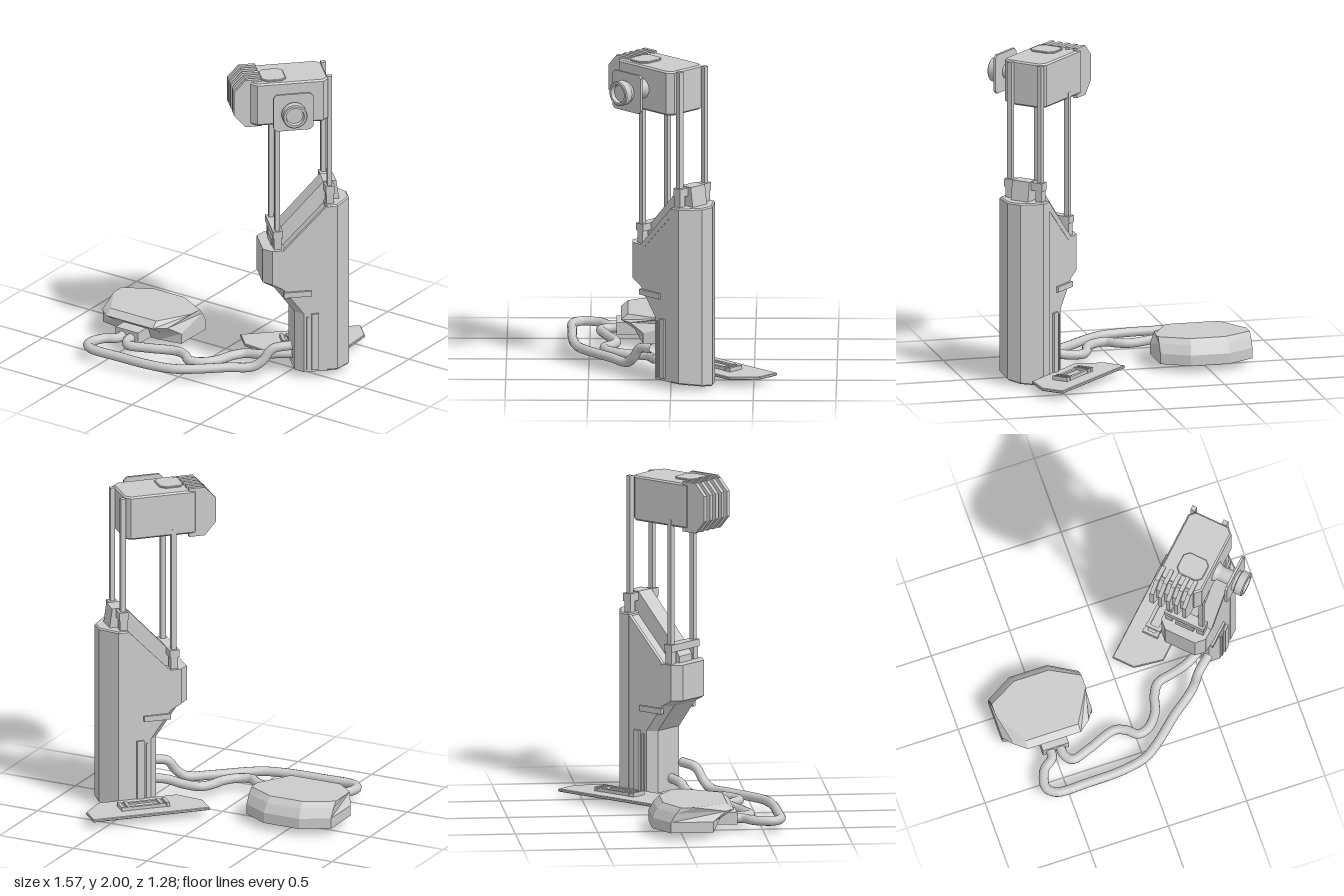
import * as THREE from 'three';

const flat = new THREE.MeshStandardMaterial({ color: 0xcccccc, flatShading: true });
const smooth = new THREE.MeshStandardMaterial({ color: 0xcccccc });

function add(parent, name, geo, mat = flat) {
  const m = new THREE.Mesh(geo, mat);
  m.name = name;
  parent.add(m);
  return m;
}
function box(parent, name, x0, x1, y0, y1, z0, z1) {
  const g = new THREE.BoxGeometry(x1 - x0, y1 - y0, z1 - z0);
  g.translate((x0 + x1) / 2, (y0 + y1) / 2, (z0 + z1) / 2);
  return add(parent, name, g);
}
const outline = pts => new THREE.Shape(pts.map(p => new THREE.Vector2(p[0], p[1])));

// Outline in x,z raised from y0 to y1, with an optional small bevel
function plan(pts, y0, y1, bevel = 0) {
  const g = new THREE.ExtrudeGeometry(outline(pts.map(([x, z]) => [x, -z])), {
    depth: y1 - y0 - 2 * bevel, bevelEnabled: bevel > 0, bevelSize: bevel,
    bevelThickness: bevel, bevelOffset: -bevel, bevelSegments: 1 });
  g.rotateX(-Math.PI / 2);
  return g.translate(0, y0 + bevel, 0);
}
// Outline in x,y running from z0 to z1
function side(pts, z0, z1, steps = 1) {
  const g = new THREE.ExtrudeGeometry(outline(pts), { depth: z1 - z0, steps, bevelEnabled: false });
  return g.translate(0, 0, z0);
}
// Rectangle with cut corners
const cut = (x0, x1, y0, y1, c) => [[x0 + c, y0], [x1 - c, y0], [x1, y0 + c], [x1, y1 - c],
  [x1 - c, y1], [x0 + c, y1], [x0, y1 - c], [x0, y0 + c]];

// Move vertices by a rule
function reshape(g, rule) {
  const p = g.attributes.position, v = new THREE.Vector3();
  for (let i = 0; i < p.count; i++) {
    v.fromBufferAttribute(p, i);
    rule(v);
    p.setXYZ(i, v.x, v.y, v.z);
  }
  g.computeVertexNormals();
  return g;
}

function buildTower(t) {
  // Main housing; its front vertical corners are chamfered
  const housing = side([[0.14, 0.86], [0.14, 0.64], [0.21, 0.6], [0.335, 0.43], [0.335, 0.045],
    [0.56, 0.045], [0.56, 1.13], [0.53, 1.13], [0.27, 0.86]], 0.22, 0.52, 6);
  add(t, 'towerHousing', reshape(housing, v => {
    const front = v.x < 0.25 || (v.x < 0.36 && v.y < 0.5);
    if (front && Math.abs(v.z - 0.37) > 0.14) v.x += 0.05;
  }));
  // Tapered rear spine with a slanted foot
  const spine = plan([[0.52, 0.215], [0.59, 0.215], [0.68, 0.325], [0.68, 0.415], [0.59, 0.525], [0.52, 0.525]],
    0.02, 1.14, 0.008);
  add(t, 'rearSpine', reshape(spine, v => {
    if (v.y < 0.1) v.y += 0.15 * (v.z - 0.215) - 0.02;
  }));
  // Sloping ridge between the rods
  add(t, 'topRidge', side([[0.2, 0.84], [0.59, 0.84], [0.62, 1.12], [0.6, 1.26], [0.52, 1.26], [0.26, 0.98], [0.2, 0.9]],
    0.31, 0.43));
  // Raised trim on both sides
  for (const s of [-1, 1]) {
    const trim = (name, x0, x1, y0, y1, d) => {
      const a = 0.37 + s * 0.14, b = 0.37 + s * (0.15 + d);
      box(t, name, x0, x1, y0, y1, Math.min(a, b), Math.max(a, b));
    };
    trim('sideLedge', 0.26, 0.43, 0.55, 0.585, 0.014);
    trim('sideStrip', 0.43, 0.475, 0.06, 0.43, 0.014);
    trim('sideStrip', 0.4, 0.415, 0.06, 0.41, 0.008);
    // Trim running along the sloping shoulder
    const z = 0.37 + s * 0.14;
    add(t, 'shoulderTrim', side([[0.26, 0.86], [0.285, 0.84], [0.55, 1.11], [0.53, 1.14]], z - 0.012, z + 0.012));
  }
}

function buildRods(t) {
  for (const z of [0.263, 0.473]) {
    box(t, 'frontRod', 0.213, 0.243, 0.84, 1.75, z - 0.015, z + 0.015);
    box(t, 'rearRod', 0.534, 0.564, 1.1, 1.98, z - 0.015, z + 0.015);
    box(t, 'rodSocket', 0.205, 0.251, 0.85, 0.94, z - 0.022, z + 0.022);
    box(t, 'rodSocket', 0.526, 0.572, 1.12, 1.22, z - 0.022, z + 0.022);
  }
  box(t, 'frontClamp', 0.198, 0.258, 0.935, 0.98, 0.235, 0.5);
  box(t, 'rearClamp', 0.522, 0.578, 1.205, 1.255, 0.235, 0.5);
}

function buildHead(t) {
  add(t, 'headBody', plan(cut(0.06, 0.535, 0.25, 0.54, 0.035), 1.71, 1.985, 0.01));
  add(t, 'topButton', plan(cut(0.13, 0.28, 0.34, 0.51, 0.03), 1.98, 1.995, 0.004));
  // Cooling fins with a core behind them
  add(t, 'finCore', side([[0.0, 1.78], [0.05, 1.72], [0.13, 1.72], [0.13, 1.98], [0.05, 1.98], [0.0, 1.92]], 0.27, 0.49));
  for (let i = 0; i < 5; i++) {
    const z = 0.255 + i * 0.054;
    add(t, 'coolingFin', side([[-0.04, 1.77], [0.03, 1.69], [0.13, 1.69], [0.13, 1.998], [0.03, 1.998], [-0.04, 1.925]],
      z, z + 0.026));
  }
  // Lens on a stalk, pointing along +z
  const turn = (name, pts) => {
    const m = add(t, name, new THREE.LatheGeometry(pts.map(p => new THREE.Vector2(...p)), 28), flat);
    m.rotation.x = Math.PI / 2;
    m.position.set(0.29, 1.845, 0);
  };
  turn('lensStalk', [[0, 0.53], [0.062, 0.53], [0.062, 0.545], [0.046, 0.57], [0.046, 0.67], [0, 0.67]]);
  add(t, 'lensPlate', side(cut(0.17, 0.415, 1.725, 1.965, 0.02), 0.656, 0.672));
  turn('lensRing', [[0, 0.665], [0.066, 0.665], [0.066, 0.69], [0.076, 0.695], [0.076, 0.74], [0.07, 0.746],
    [0.056, 0.746], [0.052, 0.72], [0, 0.72]]);
}

function buildFloorPlate(t) {
  add(t, 'floorPlate', plan([[0.1, -0.065], [0.84, -0.065], [0.84, 0.08], [0.72, 0.22], [0.22, 0.22], [0.1, 0.08]],
    0.042, 0.06, 0.004));
  add(t, 'plateHandleBase', plan(cut(0.325, 0.63, 0.035, 0.12, 0.02), 0.055, 0.07));
  for (const z of [0.04, 0.115]) box(t, 'plateHandleRail', 0.34, 0.615, 0.055, 0.08, z - 0.01, z + 0.01);
  for (const x of [0.335, 0.375, 0.58, 0.62]) box(t, 'plateHandleBar', x - 0.01, x + 0.01, 0.055, 0.085, 0.027, 0.128);
}

// Faceted pad lofted through rings of half-widths and depths
function buildPad(root) {
  const rings = [
    [0.045, [[0.12, -0.18], [0.287, -0.083], [0.287, 0.176], [0.14, 0.2]]],
    [0.11, [[0.12, -0.18], [0.287, -0.083], [0.287, 0.176], [0.167, 0.23]]],
    [0.165, [[0.115, -0.15], [0.287, -0.05], [0.24, 0.255], [0.17, 0.312]]],
    [0.2, [[0.11, -0.115], [0.287, -0.02], [0.287, 0.06], [0.167, 0.27]]],
  ];
  const pos = [], idx = [], n = 8;
  for (const [y, half] of rings) {
    const loop = [...half, ...half.map(([x, z]) => [-x, z]).reverse()];
    for (const [x, z] of loop) pos.push(x, y, z);
  }
  for (let r = 0; r < rings.length - 1; r++) for (let i = 0; i < n; i++) {
    const a = r * n + i, b = r * n + (i + 1) % n;
    idx.push(a, a + n, b, b, a + n, b + n);
  }
  const top = (rings.length - 1) * n;
  for (let i = 1; i < n - 1; i++) {
    idx.push(0, i, i + 1);
    idx.push(top, top + i + 1, top + i);
  }
  const g = new THREE.BufferGeometry();
  g.setAttribute('position', new THREE.Float32BufferAttribute(pos, 3));
  g.setIndex(idx);
  g.computeVertexNormals();
  const pad = add(root, 'footPad', g);
  pad.position.x = -0.493;
  box(root, 'cableSocket', -0.575, -0.41, 0.05, 0.125, 0.17, 0.34);
}

function buildCables(root) {
  const paths = [
    [[-0.53, 0.08, 0.3], [-0.53, 0.078, 0.38], [-0.6, 0.078, 0.44], [-0.63, 0.078, 0.55], [-0.58, 0.078, 0.6],
      [-0.38, 0.078, 0.605], [-0.15, 0.078, 0.597], [0, 0.078, 0.565], [0.1, 0.078, 0.5], [0.26, 0.078, 0.36],
      [0.38, 0.08, 0.27], [0.43, 0.12, 0.23], [0.47, 0.19, 0.19], [0.56, 0.21, 0.11]],
    [[-0.46, 0.08, 0.3], [-0.46, 0.078, 0.38], [-0.42, 0.078, 0.432], [-0.3, 0.078, 0.4], [-0.12, 0.078, 0.337],
      [-0.05, 0.078, 0.36], [0.01, 0.078, 0.407], [0.08, 0.078, 0.39], [0.15, 0.078, 0.31], [0.185, 0.078, 0.2],
      [0.23, 0.08, 0.135], [0.33, 0.09, 0.11], [0.42, 0.11, 0.09], [0.52, 0.12, 0.04]],
  ];
  for (const path of paths) {
    const curve = new THREE.CatmullRomCurve3(path.map(p => new THREE.Vector3(...p)), false, 'centripetal');
    add(root, 'cable', new THREE.TubeGeometry(curve, 90, 0.029, 12), smooth);
  }
}

export function createModel() {
  const root = new THREE.Group();
  root.name = 'towerWithFootPad';
  // The tower stands turned by 45 degrees
  const tower = new THREE.Group();
  tower.name = 'tower';
  tower.rotation.y = Math.PI / 4;
  root.add(tower);
  buildTower(tower);
  buildRods(tower);
  buildHead(tower);
  buildFloorPlate(tower);
  buildPad(root);
  buildCables(root);
  return root;
}
